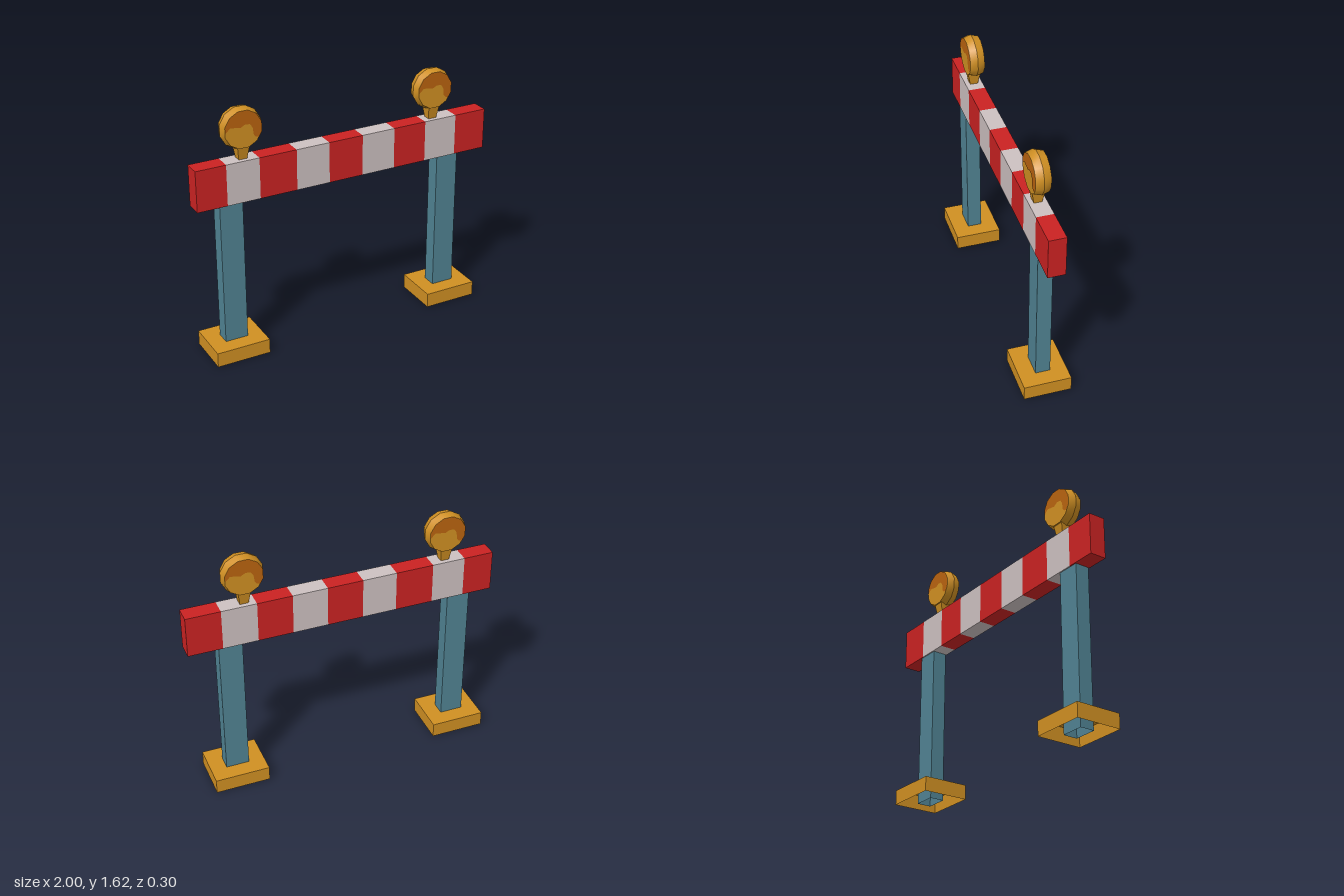
import * as THREE from 'three';
import { toCreasedNormals } from 'three/addons/utils/BufferGeometryUtils.js';

const mat = (name, color, side = THREE.FrontSide) =>
  Object.assign(new THREE.MeshStandardMaterial({ color, side }), { name });

export function createModel() {
  const gold = mat('gold', 0xcf8f22, THREE.DoubleSide);
  const amber = mat('amber', 0xb9630f);
  const red = mat('red', 0xca2222);
  const white = mat('white', 0xccc0c0);
  const teal = mat('teal', 0x508292, THREE.DoubleSide);

  const model = new THREE.Group();
  model.name = 'roadBarrier';

  const add = (parent, name, geometry, material, x = 0, y = 0, z = 0) => {
    const mesh = new THREE.Mesh(geometry, material);
    mesh.name = name;
    mesh.position.set(x, y, z);
    parent.add(mesh);
    return mesh;
  };

  // Box standing on y = 0 without its bottom face
  const openBox = (w, h, d) => {
    const g = new THREE.BoxGeometry(w, h, d).translate(0, h / 2, 0);
    const index = Array.from(g.index.array);
    index.splice(18, 6);
    g.setIndex(index);
    g.clearGroups();
    return g;
  };

  // Feet and posts
  for (const [side, x] of [['right', -0.779], ['left', 0.731]]) {
    add(model, side + 'Foot', openBox(0.354, 0.096, 0.304), gold, x);
    add(model, side + 'Post', openBox(0.15, 1.03, 0.094), teal, x);
  }

  // Striped beam: one closed ring per stripe, end caps on the outer two
  const beam = new THREE.Group();
  beam.name = 'beam';
  model.add(beam);
  const edges = [-1, -0.805, -0.59, -0.345, -0.123, 0.107, 0.332, 0.556, 0.78, 1];
  for (let i = 0; i < edges.length - 1; i++) {
    const [a, b] = [edges[i], edges[i + 1]];
    add(beam, 'stripe' + (i + 1), new THREE.BoxGeometry(b - a, 0.267, 0.11),
      i % 2 ? white : red, (a + b) / 2, 1.163, 0);
  }

  // Lamp head: twelve-sided disc with a ridge round the middle
  const R = 0.121, half = 0.047;
  const profile = [[0, -half], [R, -half], [0.1355, 0], [R, half], [0, half]]
    .map(([r, y]) => new THREE.Vector2(r, y));
  const head = toCreasedNormals(
    new THREE.LatheGeometry(profile, 12).rotateY(Math.PI / 12).rotateX(Math.PI / 2), 0.57);

  // Amber upper part of the lens with a wavy lower edge
  const outline = [[0.099, -0.062]];
  for (let deg = -15; deg <= 165; deg += 30) {
    const t = THREE.MathUtils.degToRad(deg);
    outline.push([R * Math.cos(t), R * Math.sin(t)]);
  }
  outline.push([-0.116, -0.005], [-0.105, 0.005], [-0.085, 0.025], [-0.05, 0.02], [-0.02, 0.014],
    [0.01, 0.03], [0.042, 0.027], [0.058, 0.002], [0.064, -0.045], [0.078, -0.06]);
  const lens = new THREE.ShapeGeometry(
    new THREE.Shape(outline.map(([x, y]) => new THREE.Vector2(x, y))));

  // Stem: box that narrows towards the beam
  const stem = new THREE.BoxGeometry(1, 0.125, 1);
  const p = stem.attributes.position;
  for (let i = 0; i < p.count; i++) {
    const top = p.getY(i) > 0;
    p.setX(i, p.getX(i) * (top ? 0.085 : 0.05));
    p.setZ(i, p.getZ(i) * (top ? 0.092 : 0.044));
  }
  const stemGeometry = stem.toNonIndexed();
  stemGeometry.computeVertexNormals();

  for (const [side, x] of [['right', -0.683], ['left', 0.626]]) {
    const lamp = new THREE.Group();
    lamp.name = side + 'Lamp';
    lamp.position.set(x, 1.493, 0);
    model.add(lamp);
    add(lamp, 'lampHead', head, gold);
    add(lamp, 'lampStem', stemGeometry, gold, 0, -0.15, 0);
    add(lamp, 'frontLens', lens, amber, 0, 0, half + 0.002);
    add(lamp, 'backLens', lens, amber, 0, 0, -half - 0.002).rotation.y = Math.PI;
  }

  return model;
}
